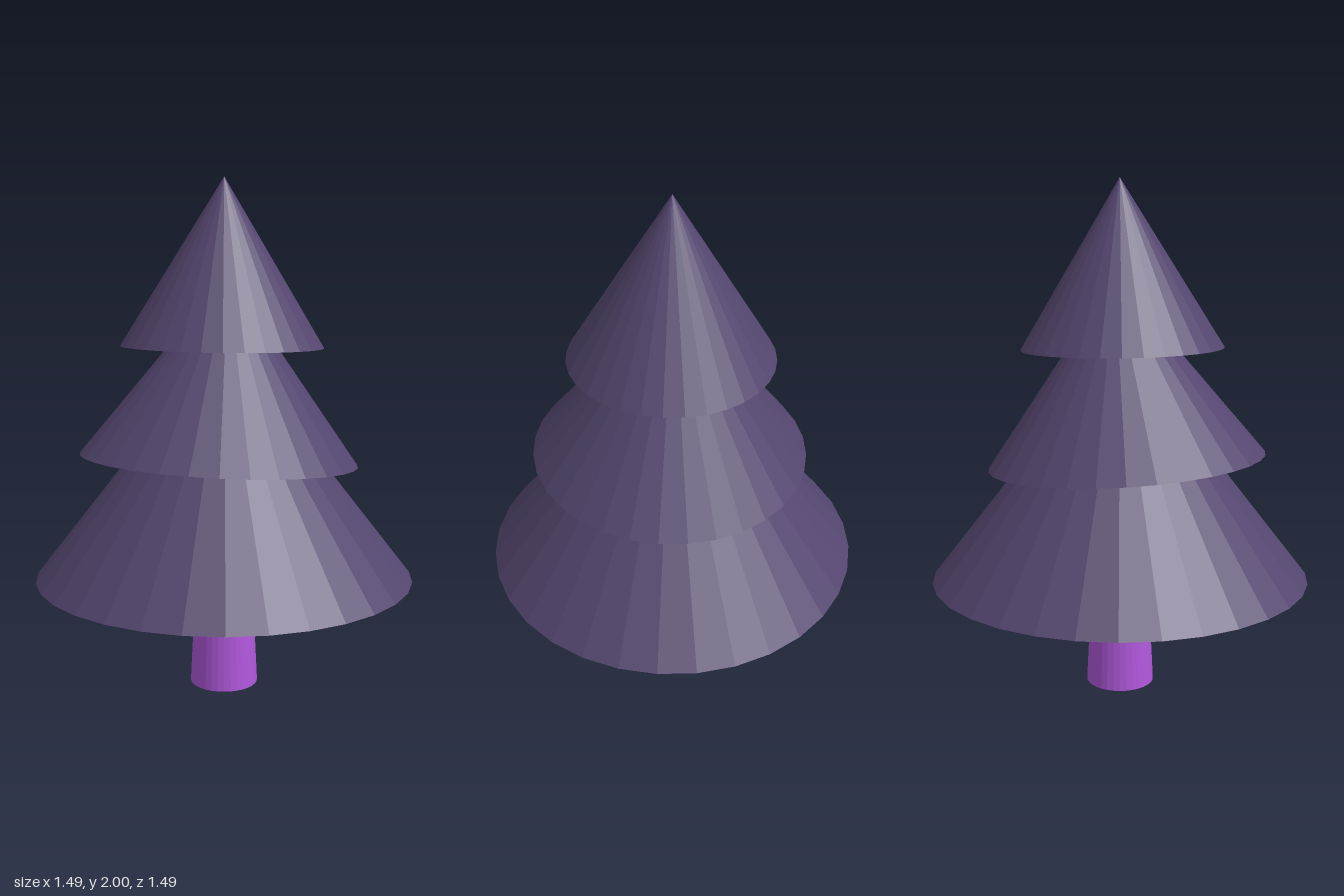
import * as THREE from 'three';

const SIDES = 32;

export function createModel() {
  const tree = new THREE.Group();
  tree.name = 'tree';
  const foliage = new THREE.MeshStandardMaterial({ color: 0x54466f, flatShading: true });
  const bark = new THREE.MeshStandardMaterial({ color: 0xb058dc, flatShading: true });

  // Tapered trunk, its top hidden inside the lowest tier
  const trunkHeight = 0.5;
  const trunk = new THREE.Mesh(new THREE.CylinderGeometry(0.11, 0.135, trunkHeight, SIDES), bark);
  trunk.name = 'trunk';
  trunk.position.y = trunkHeight / 2;
  tree.add(trunk);

  // Foliage cones, each placed by its base centre and tilted about it
  const tiers = [
    { name: 'lowerFoliage', radius: 0.745, height: 0.95, x: 0, y: 0.45, tilt: 0 },
    { name: 'middleFoliage', radius: 0.544, height: 0.717, x: -0.028, y: 0.92, tilt: -4 },
    { name: 'upperFoliage', radius: 0.395, height: 0.643, x: -0.01, y: 1.357, tilt: -1 },
  ];
  for (const { name, radius, height, x, y, tilt } of tiers) {
    const geometry = new THREE.ConeGeometry(radius, height, SIDES);
    geometry.translate(0, height / 2, 0);
    const cone = new THREE.Mesh(geometry, foliage);
    cone.name = name;
    cone.position.set(x, y, 0);
    cone.rotation.z = THREE.MathUtils.degToRad(tilt);
    tree.add(cone);
  }
  return tree;
}
